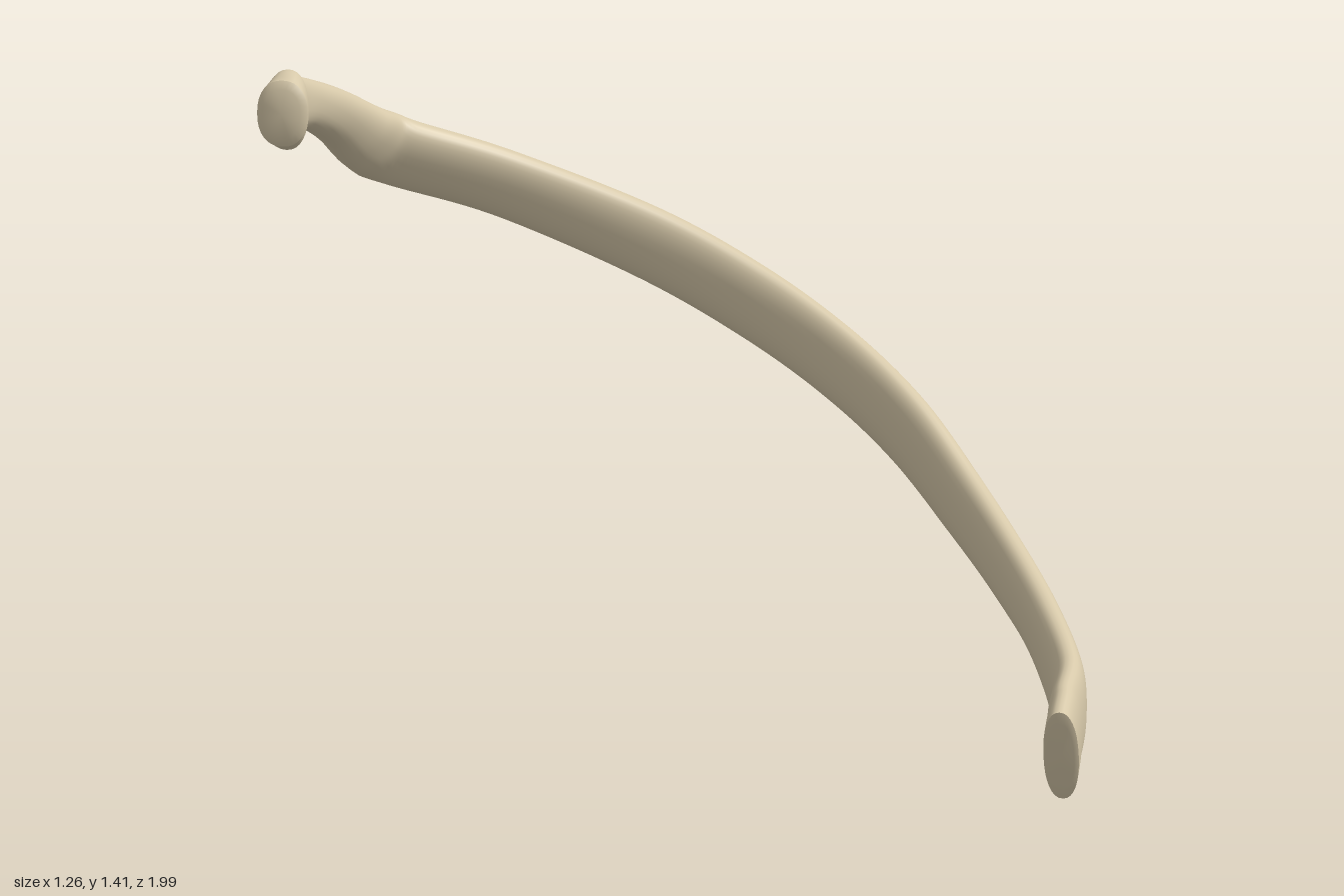
import * as THREE from 'three';

// Stations from the front end to the head:
// centre x, y, z, half height, half thickness, inward roll in degrees
const STATIONS = [
  [0.15, 0.105, 0.955, 0.108, 0.037, 0],
  [0.21, 0.138, 0.9, 0.104, 0.037, 0],
  [0.31, 0.188, 0.8, 0.094, 0.037, 0],
  [0.425, 0.277, 0.6, 0.075, 0.036, 0],
  [0.505, 0.365, 0.4, 0.075, 0.036, 0],
  [0.56, 0.465, 0.2, 0.078, 0.037, 0],
  [0.582, 0.59, 0, 0.08, 0.037, 0],
  [0.57, 0.7, -0.2, 0.08, 0.036, 0],
  [0.512, 0.808, -0.4, 0.08, 0.037, 3],
  [0.395, 0.92, -0.6, 0.079, 0.037, 8],
  [0.19, 1.04, -0.815, 0.076, 0.038, 18],
  [0, 1.115, -0.93, 0.08, 0.041, 28],
  [-0.1, 1.16, -0.927, 0.072, 0.044, 28],
  [-0.2, 1.218, -0.895, 0.06, 0.045, 24],
  [-0.3, 1.263, -0.845, 0.054, 0.044, 14],
  [-0.4, 1.298, -0.79, 0.053, 0.04, 4],
  [-0.5, 1.322, -0.722, 0.062, 0.034, 0],
  [-0.565, 1.33, -0.656, 0.084, 0.044, 0],
  [-0.608, 1.332, -0.625, 0.07, 0.054, 0],
];
const RINGS = 160;
const SIDES = 32;

// Rounded cross-sections swept along the curve, all square to its tangent
function makeRings() {
  const path = new THREE.CatmullRomCurve3(STATIONS.map(s => new THREE.Vector3(s[0], s[1], s[2])));
  const sizes = new THREE.CatmullRomCurve3(STATIONS.map(s => new THREE.Vector3(s[3], s[4], s[5] / 100)));
  // uniform parameters keep both curves in step at the stations
  path.curveType = sizes.curveType = 'catmullrom';
  const soften = v => Math.sign(v) * Math.abs(v) ** 0.88;
  const rings = [];
  for (let i = 0; i <= RINGS; i++) {
    const k = i / RINGS;
    const centre = path.getPoint(k);
    const size = sizes.getPoint(k);
    const tangent = path.getTangent(k);
    const up = new THREE.Vector3(0, 1, 0).addScaledVector(tangent, -tangent.y).normalize();
    up.applyAxisAngle(tangent, -THREE.MathUtils.degToRad(size.z * 100));
    const side = tangent.clone().cross(up);
    const points = [];
    for (let j = 0; j < SIDES; j++) {
      const a = (j / SIDES) * Math.PI * 2;
      points.push(centre.clone()
        .addScaledVector(side, soften(Math.cos(a)) * size.y)
        .addScaledVector(up, soften(Math.sin(a)) * size.x));
    }
    rings.push({ centre, tangent, points });
  }
  return rings;
}

function toGeometry(points, index) {
  const geometry = new THREE.BufferGeometry().setFromPoints(points);
  geometry.setIndex(index);
  geometry.computeVertexNormals();
  return geometry;
}

function shaftGeometry(rings) {
  const index = [];
  for (let i = 0; i < RINGS; i++) {
    for (let j = 0; j < SIDES; j++) {
      const a = i * SIDES + j, b = i * SIDES + (j + 1) % SIDES;
      index.push(a, a + SIDES, b, b, a + SIDES, b + SIDES);
    }
  }
  return toGeometry(rings.flatMap(r => r.points), index);
}

// Slightly domed end face; direction is -1 at the start and 1 at the end
function capGeometry({ centre, tangent, points }, direction, dome) {
  const apex = centre.clone().addScaledVector(tangent, direction * dome);
  const inner = points.map(p => p.clone().lerp(apex, 0.25).addScaledVector(tangent, direction * dome * 0.6));
  const index = [];
  const add = (a, b, c) => (direction < 0 ? index.push(a, b, c) : index.push(a, c, b));
  for (let j = 0; j < SIDES; j++) {
    const n = (j + 1) % SIDES;
    add(j, n, SIDES + j);
    add(n, SIDES + n, SIDES + j);
    add(2 * SIDES, SIDES + j, SIDES + n);
  }
  return toGeometry([...points, ...inner, apex], index);
}

export function createModel() {
  const group = new THREE.Group();
  group.name = 'rib';
  const bone = new THREE.MeshStandardMaterial({ color: 0xd6c8a9 });
  bone.name = 'bone';
  const add = (name, geometry) => {
    const mesh = new THREE.Mesh(geometry, bone);
    mesh.name = name;
    group.add(mesh);
    return mesh;
  };

  const rings = makeRings();
  add('shaft', shaftGeometry(rings));
  add('frontEnd', capGeometry(rings[0], -1, 0.006));
  add('headFace', capGeometry(rings[RINGS], 1, 0.014));

  // Small knob on the back of the neck
  const tubercle = add('tubercle', new THREE.SphereGeometry(1, 24, 16));
  tubercle.scale.set(0.055, 0.042, 0.026);
  tubercle.position.set(-0.41, 1.29, -0.825);
  tubercle.rotation.y = 0.6;
  return group;
}
